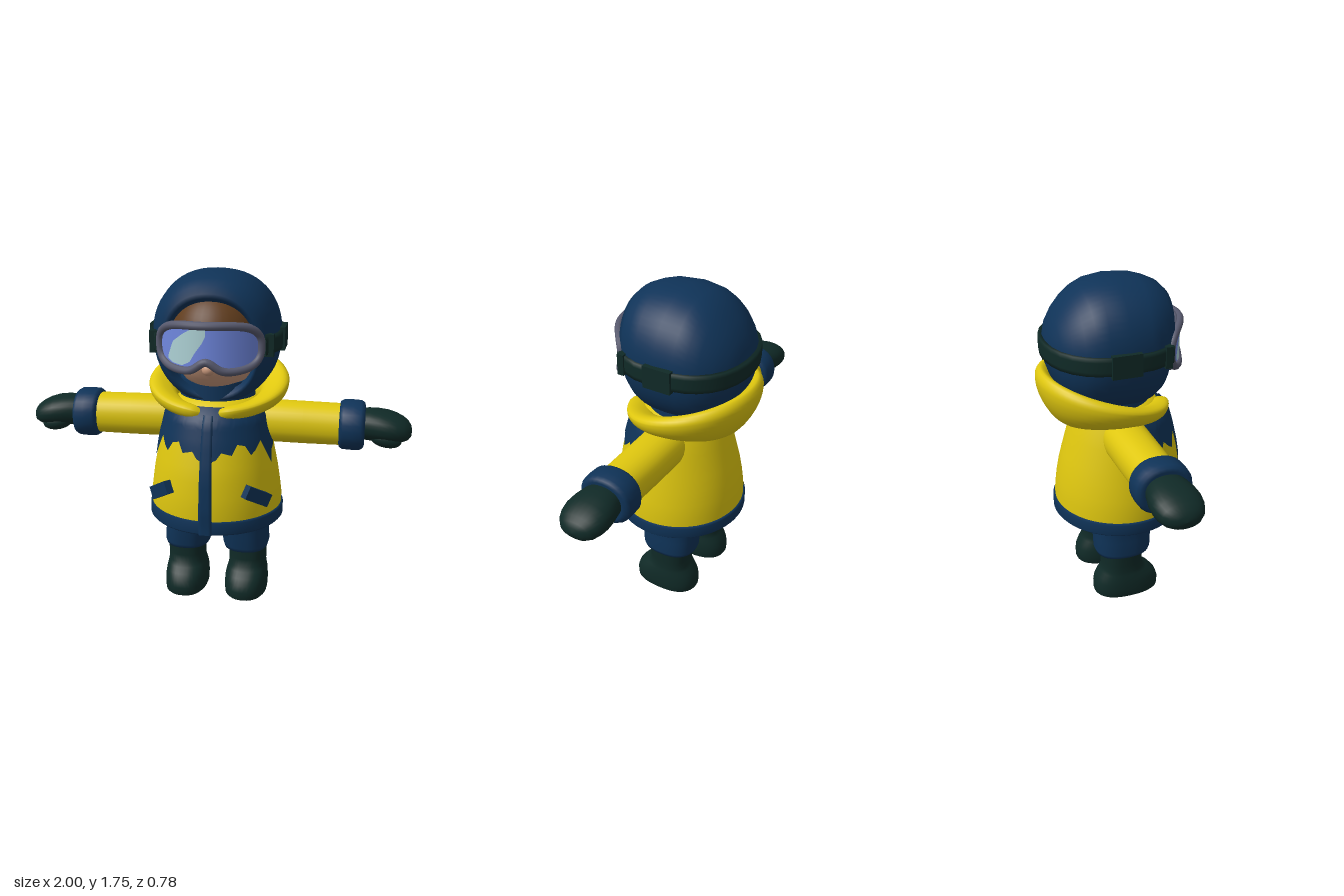
import * as THREE from 'three';

const mat = (name, color) => new THREE.MeshStandardMaterial({ name, color, side: THREE.DoubleSide });
const { sin, cos, abs, sqrt, sign, min, max, PI, exp } = Math;

// Smooth surface from a point rule p(i, j); closed in i when wrap is set
function grid(nu, nv, p, wrap = false) {
  const pos = [], idx = [], cols = wrap ? nu : nu + 1;
  for (let j = 0; j <= nv; j++) for (let i = 0; i < cols; i++) pos.push(...p(i, j));
  for (let j = 0; j < nv; j++) for (let i = 0; i < nu; i++) {
    const k = (i + 1) % cols, a = j * cols + i, b = j * cols + k;
    idx.push(a, b, b + cols, a, b + cols, a + cols);
  }
  const g = new THREE.BufferGeometry();
  g.setAttribute('position', new THREE.Float32BufferAttribute(pos, 3));
  g.setIndex(idx);
  g.computeVertexNormals();
  return g;
}

// Point on a unit superellipse: [sin, cos] style
const sup = (t, n = 2) => [sin(t), cos(t)].map(v => sign(v) * abs(v) ** (2 / n));

// Horizontal rings [y, cx, cz, rx, rz] stacked upwards
const stack = (rows, n = 2, seg = 40) => grid(seg, rows.length - 1, (i, j) => {
  const [y, cx, cz, rx, rz] = rows[j], [s, c] = sup(i / seg * 2 * PI, n);
  return [cx + rx * s, y, cz + rz * c];
}, true);

// Upright rings [x, cy, ry, rz] strung along x
const limb = (rows, seg = 28) => grid(seg, rows.length - 1, (i, j) => {
  const [x, cy, ry, rz] = rows[j], [s, c] = sup(i / seg * 2 * PI, 2.2);
  return [x, cy + ry * c, rz * s];
}, true);

// Linear lookup in a table of [key, ...values]
function lookup(rows, k) {
  let i = 0;
  while (i < rows.length - 2 && k > rows[i + 1][0]) i++;
  const a = rows[i], b = rows[i + 1], f = min(1, max(0, (k - a[0]) / (b[0] - a[0])));
  return a.slice(1).map((v, n) => v + (b[n + 1] - v) * f);
}

// Jacket profile: y, cx, cz, rx, rz
const JACKET = [[.5, 0, .037, .345, .335], [.58, 0, .041, .345, .336], [.65, 0, .043, .336, .33], [.73, 0, .047, .324, .32],
  [.8, 0, .05, .31, .306], [.92, 0, .052, .287, .276], [1.02, 0, .053, .262, .246], [1.07, 0, .045, .235, .215], [1.12, 0, .03, .17, .16]];
function onJacket(t, y, off) {
  const [cx, cz, rx, rz] = lookup(JACKET, y);
  return [cx + (rx + off) * sin(t), y, cz + (rz + off) * cos(t)];
}

// Jagged lower edge of the yoke: degrees from the front, y
const YOKE = [[0, .83], [9, .85], [14, .885], [24, .87], [30, .92], [38, .91], [44, .86], [50, .88],
  [58, .92], [64, .86], [71, .79], [76, .85], [84, .87], [90, .93]];

// Hood rings: z, rx, top, bottom
const HOOD = [[.19, .215, 1.61, 1.15], [.225, .225, 1.63, 1.13], [.24, .24, 1.655, 1.115], [.2, .272, 1.69, 1.09], [.15, .297, 1.717, 1.082],
  [.1, .315, 1.735, 1.08], [0, .325, 1.745, 1.08], [-.1, .318, 1.73, 1.085], [-.16, .303, 1.702, 1.1], [-.21, .278, 1.665, 1.125],
  [-.26, .236, 1.612, 1.17], [-.3, .18, 1.555, 1.23], [-.325, .115, 1.495, 1.3], [-.337, .05, 1.44, 1.36], [-.339, 0, 1.4, 1.4]];

// Goggle outline and its wrap around the face
const gogZ = x => .352 - 2 * x * x;
const gogEnd = x => max(0, 1 - abs(x / .25) ** 5) ** .4;
const gogTop = x => 1.405 + .105 * gogEnd(x) + .006 * cos(x * 6);
const gogBot = x => 1.405 - .112 * gogEnd(x) + .05 * exp(-((x / .055) ** 2)) * gogEnd(x);

// Collar roll: section points as [front radius, back radius, height]
const ROLL = [[1, 1, .85], [1, .99, .62], [.97, .9, .3], [.85, .72, 0], [.6, .55, 0], [.62, .6, .5], [.74, .78, .85], [.9, .92, 1]];
function collarGeometry() {
  const nu = 24, nv = 64, gap = .07, rings = [];
  for (let j = 0; j <= nv; j++) {
    const t = gap + (2 * PI - 2 * gap) * j / nv, c = cos(t), f = (1 + c) / 2;
    const top = 1.19 - .095 * c, bot = 1.055 - .035 * c * c;
    const pts = ROLL.map(([a, b, h]) => new THREE.Vector3(b + (a - b) * f, bot + (top - bot) * h, 0));
    const curve = new THREE.CatmullRomCurve3(pts, true);
    // Round off both ends at the throat
    const d = min(1, max(0, (min(t, 2 * PI - t) - gap) / .3)), w = sqrt(d * (2 - d));
    const mid = (top + bot) / 2 - .01;
    rings.push(Array.from({ length: nu }, (_, i) => {
      const q = curve.getPoint(i / nu), r = .82 + (q.x - .82) * w, y = mid + (q.y - mid) * w;
      return [.365 * r * sin(t), y, -.03 + (c > 0 ? .325 : .35) * r * c];
    }));
  }
  return grid(nu, nv, (i, j) => rings[j][i], true);
}

export function createModel() {
  const root = new THREE.Group();
  root.name = 'snowsuitChild';
  const navy = mat('navy', 0x0f3358), yellow = mat('yellow', 0xdfc70f), dark = mat('darkGreen', 0x102a27);
  const skin = mat('skin', 0xc6967a), hair = mat('hairBrown', 0x613d1d), frame = mat('frameGrey', 0x57596d);
  const lens = mat('lensBlue', 0x7088e0), glare = mat('lensGlare', 0xaed2d6);
  const add = (name, geo, m, parent = root) => {
    const mesh = new THREE.Mesh(geo, m);
    mesh.name = name;
    parent.add(mesh);
    return mesh;
  };
  const ball = (name, m, p, s, parent = root) => {
    const b = add(name, new THREE.SphereGeometry(1, 32, 24), m, parent);
    b.position.set(...p);
    b.scale.set(...s);
    return b;
  };

  // Jacket body, hem, yoke and zip placket
  add('jacket', stack([...JACKET, [1.12, 0, .03, 0, 0]], 2, 64), yellow);
  add('hem', stack([[.47, 0, .037, 0, 0], [.455, 0, .037, .3, .29], [.455, 0, .037, .345, .335], [.465, 0, .037, .354, .344],
    [.52, 0, .037, .354, .344], [.53, 0, .037, .346, .336], [.53, 0, .037, .3, .3]], 2, 64), navy);
  add('yoke', grid(180, 10, (i, j) => {
    const deg = i - 90, [low] = lookup(YOKE, abs(deg));
    return onJacket(deg * PI / 180, low + (1.09 - low) * j / 10, .007);
  }), navy);
  add('placket', grid(6, 24, (i, j) => {
    const y = .46 + .6 * j / 24, edge = i === 0 || i === 6;
    return onJacket((min(5, max(1, i)) - 3) * .046, y, edge ? 0 : .018);
  }), navy);
  add('collar', collarGeometry(), yellow);
  add('neck', new THREE.CylinderGeometry(.19, .2, .2, 32), navy).position.set(0, 1.1, .01);

  // Hood with face opening
  add('hood', grid(56, HOOD.length - 1, (i, j) => {
    const [z, rx, top, bot] = HOOD[j], [s, c] = sup(i / 56 * 2 * PI, 2.2);
    const y = (top + bot) / 2 + (top - bot) / 2 * c;
    return [rx * s, y, z + (y - 1.4) * .14 * min(1, max(0, z / .2))];
  }, true), navy);

  // Face
  ball('face', skin, [0, 1.38, .05], [.225, .25, .24]);
  ball('nose', skin, [0, 1.29, .28], [.032, .03, .03]);
  const fringe = add('hair', new THREE.SphereGeometry(1, 36, 16, 0, 2 * PI, 0, 1.35), hair);
  fringe.position.set(0, 1.4, .07);
  fringe.scale.set(.232, .262, .245);

  // Goggles
  const goggles = new THREE.Group();
  goggles.name = 'goggles';
  root.add(goggles);
  const outline = Array.from({ length: 72 }, (_, k) => {
    const a = k / 72 * 2 * PI, x = .25 * sin(a);
    return new THREE.Vector3(x, cos(a) >= 0 ? gogTop(x) : gogBot(x), gogZ(x));
  });
  const rim = new THREE.CatmullRomCurve3(outline, true);
  add('goggleFrame', new THREE.TubeGeometry(rim, 144, .02, 10, true), frame, goggles);
  add('goggleSeal', new THREE.TubeGeometry(rim, 144, .017, 8, true), frame, goggles).position.z = -.024;
  add('lens', grid(48, 8, (i, j) => {
    const x = .25 * sin((i / 48 - .5) * PI), b = gogBot(x);
    return [x, b + (gogTop(x) - b) * j / 8, gogZ(x)];
  }), lens, goggles);
  // Pale reflection: x, bottom, top
  const shine = [[-.195, 1.34, 1.36], [-.17, 1.325, 1.43], [-.12, 1.32, 1.47], [-.08, 1.34, 1.495], [-.05, 1.39, 1.5], [-.02, 1.43, 1.5], [0, 1.47, 1.5]];
  add('lensReflection', grid(20, 4, (i, j) => {
    const x = -.195 + .195 * i / 20, [b, t] = lookup(shine, x);
    return [x, b + (t - b) * j / 4, gogZ(x) + .004];
  }), glare, goggles);

  // Strap round the hood
  const half = [[.262, .225], ...HOOD.slice(3, 14).map(r => [r[1], r[0]])];
  const path = [...half, [0, -.339], ...half.map(([x, z]) => [-x, z]).reverse()];
  const band = [[1.04, 1.45], [1.045, 1.43], [1.045, 1.38], [1.04, 1.36], [.96, 1.36], [.96, 1.45]];
  add('strap', grid(6, path.length - 1, (i, j) => {
    const [x, z] = path[j], [k, y] = band[i];
    return [x * k, y, z * k];
  }, true), dark);

  // Mirrored limbs and side details
  for (const [side, k] of [['left', 1], ['right', -1]]) {
    const g = new THREE.Group();
    g.name = side + 'Side';
    g.scale.x = k;
    root.add(g);
    add('strapBuckle', new THREE.BoxGeometry(.03, .115, .15), dark, g).position.set(.331, 1.404, -.03);
    add('strapAnchor', new THREE.BoxGeometry(.05, .11, .035), dark, g).position.set(.283, 1.404, .195);

    add('sleeve', limb([[.15, .965, .09, .1], [.25, .965, .108, .115], [.45, .963, .108, .113], [.66, .962, .106, .11]]), yellow, g);
    add('cuff', limb([[.64, .963, 0, 0], [.632, .963, .1, .105], [.636, .963, .115, .127], [.652, .963, .125, .138], [.7, .963, .127, .141],
      [.74, .963, .125, .138], [.757, .963, .115, .127], [.762, .963, .1, .105], [.75, .963, 0, 0]]), navy, g);
    add('mitten', limb([[.73, .97, .075, .095], [.78, .972, .08, .105], [.83, .97, .08, .117], [.88, .966, .077, .121], [.92, .96, .07, .116],
      [.955, .953, .06, .102], [.98, .948, .046, .078], [.995, .946, .026, .045], [1, .946, 0, 0]]), dark, g);
    ball('thumb', dark, [.868, .912, .055], [.082, .043, .05], g).rotation.z = -.2;

    const pocket = add('pocketFlap', new THREE.BoxGeometry(.155, .068, .04), navy, g);
    pocket.position.set(.245, .65, .283);
    // Outer end low, turned to lie on the jacket
    pocket.rotation.set(0, .76, -.5, 'YXZ');

    add('trouserLeg', stack([[.275, .16, .01, 0, 0], [.262, .16, .01, .1, .12], [.265, .16, .01, .117, .145], [.285, .16, .01, .123, .152],
      [.36, .152, .012, .126, .155], [.42, .145, .014, .13, .16], [.5, .14, .016, .14, .165]], 2.4), navy, g);
    add('boot', stack([[0, .165, .03, 0, 0], [0, .165, .03, .104, .168], [.01, .165, .031, .113, .178], [.05, .165, .031, .115, .18],
      [.085, .165, .028, .114, .172], [.115, .166, .022, .11, .153], [.14, .167, .014, .104, .13], [.16, .168, .008, .1, .114],
      [.2, .168, .006, .1, .11], [.28, .168, .006, .104, .112]], 2.4), dark, g);
  }
  ball('hips', navy, [0, .5, .015], [.25, .09, .19]);
  return root;
}
